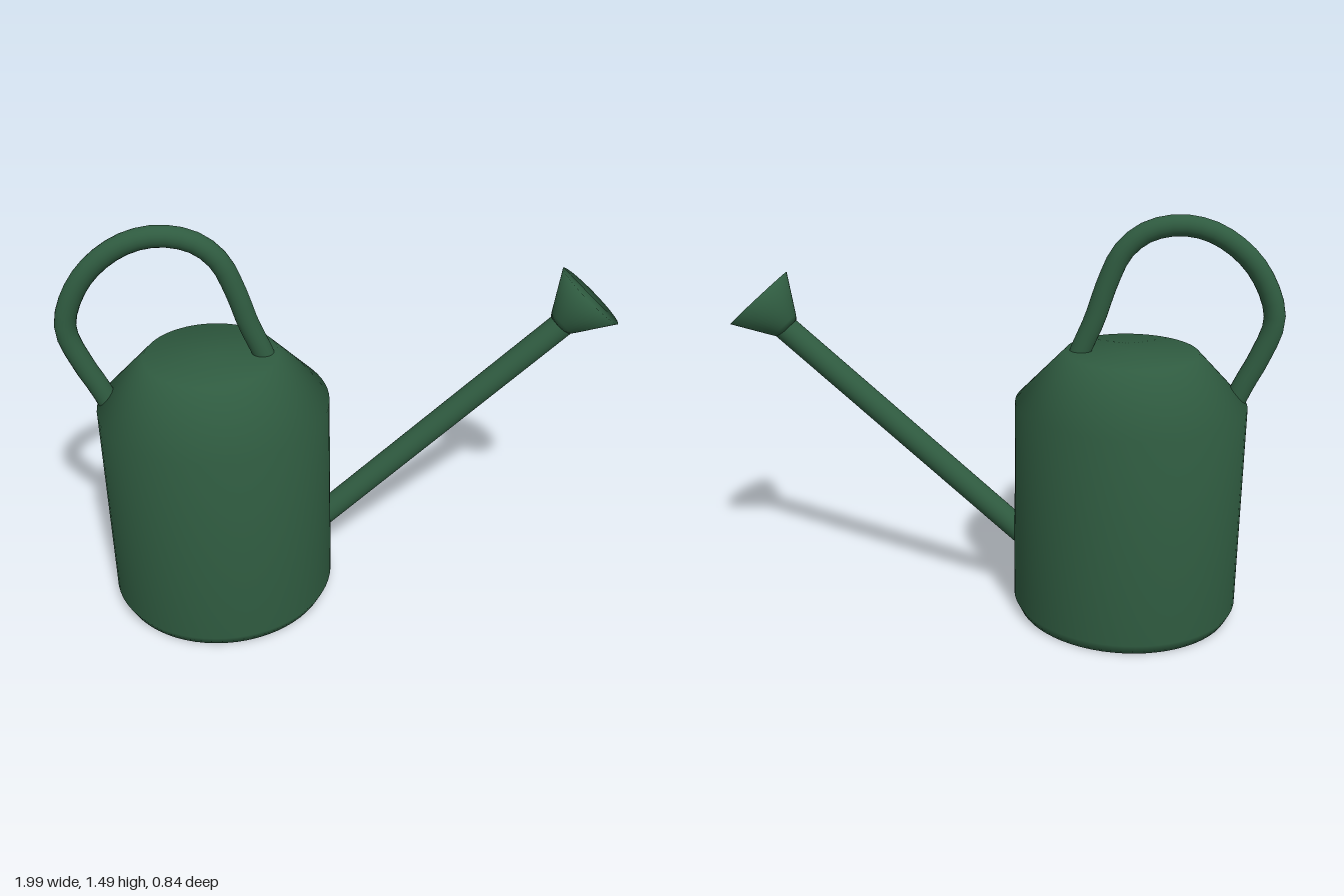
import * as THREE from 'three';

const enamel = new THREE.MeshStandardMaterial({ color: 0x2f5b40 });
enamel.name = 'dark green enamel';

const v = (x, y) => new THREE.Vector3(x, y, 0);

function part(name, geometry) {
  const mesh = new THREE.Mesh(geometry, enamel);
  mesh.name = name;
  return mesh;
}

// Smooth turned shape from [radius, height] pairs, listed bottom to top
function turned(name, profile, segments) {
  return part(name, new THREE.LatheGeometry(profile.map(([r, y]) => new THREE.Vector2(r, y)), segments));
}

// Place a turned part at a point and aim its axis along a direction
function aim(mesh, from, to) {
  mesh.position.copy(from);
  mesh.quaternion.setFromUnitVectors(v(0, 1), to.clone().sub(from).normalize());
  return mesh;
}

export function createModel() {
  const group = new THREE.Group();
  group.name = 'wateringCan';

  // Tank with bevelled foot and sloping shoulder
  const tank = turned('tank', [[0, 0], [0.4, 0], [0.42, 0.04], [0.42, 0.81], [0.24, 1], [0, 1]], 64);
  tank.position.x = -0.463;
  group.add(tank);

  // Spout, starting just inside the tank wall
  const spoutStart = v(-0.1, 0.247), spoutEnd = v(0.82, 1.074);
  const length = spoutStart.distanceTo(spoutEnd);
  group.add(aim(turned('spout', [[0.046, 0], [0.046, length]], 32), spoutStart, spoutEnd));

  // Flared sprinkler head with a flat face
  const headStart = v(0.803, 1.066), headFace = v(0.896, 1.168);
  const depth = headStart.distanceTo(headFace);
  group.add(aim(turned('sprinklerHead',
    [[0, -0.012], [0.046, -0.012], [0.057, 0.004], [0.14, depth], [0, depth]], 40), headStart, headFace));

  // Looped handle from the rear shoulder to the top
  const path = new THREE.CatmullRomCurve3([
    [-0.82, 0.78], [-0.866, 0.89], [-0.91, 0.98], [-0.957, 1.12], [-0.936, 1.22],
    [-0.861, 1.34], [-0.738, 1.43], [-0.615, 1.457], [-0.497, 1.43], [-0.417, 1.36],
    [-0.364, 1.24], [-0.326, 1.118], [-0.278, 1.0], [-0.265, 0.96],
  ].map(([x, y]) => v(x, y)));
  group.add(part('handle', new THREE.TubeGeometry(path, 32, 0.038, 20)));

  return group;
}
